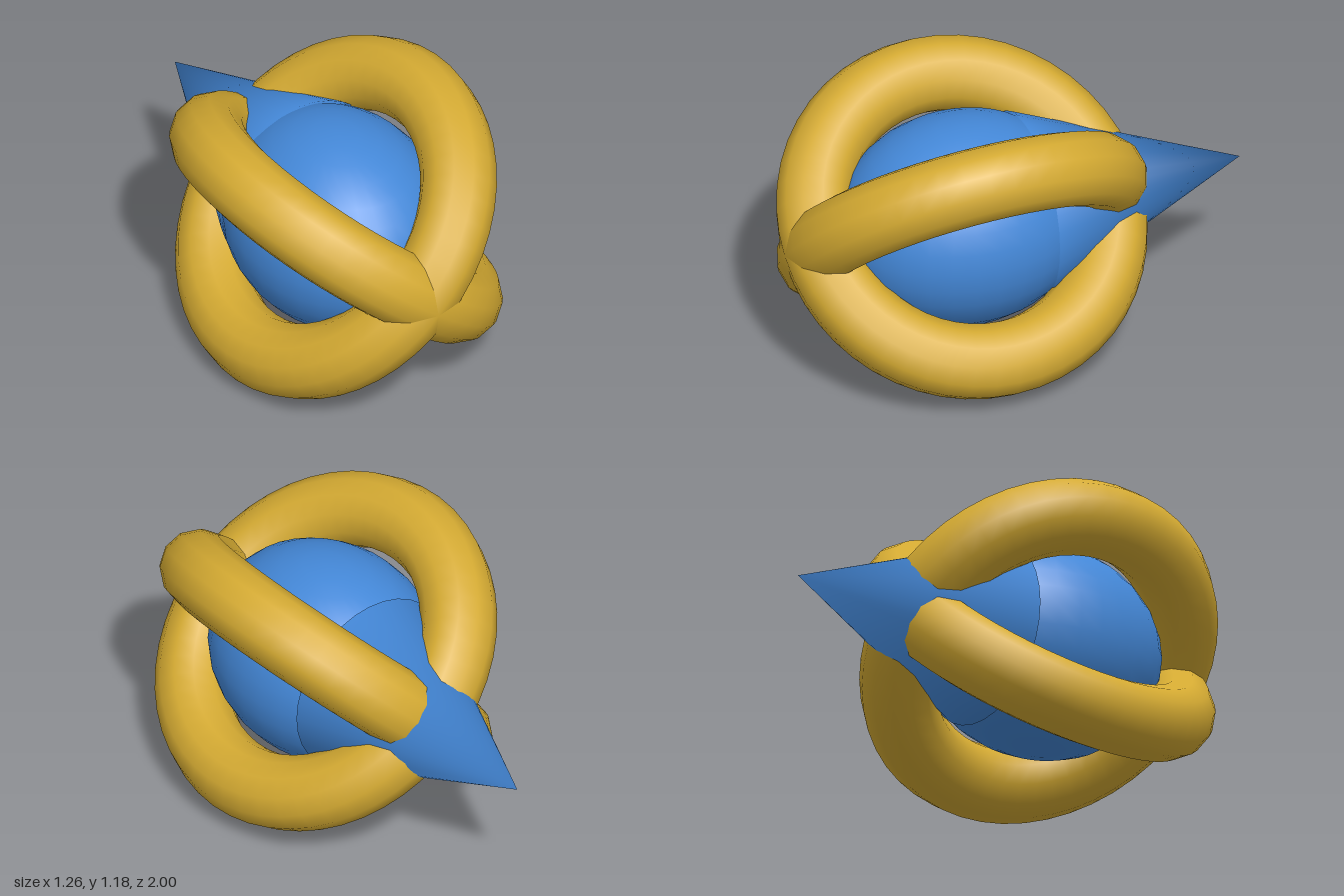
import * as THREE from 'three';
import { mergeVertices } from 'three/addons/utils/BufferGeometryUtils.js';

export function createModel() {
  const group = new THREE.Group();
  const blue = new THREE.MeshStandardMaterial({ color: 0x4488d8 });
  const gold = new THREE.MeshStandardMaterial({ color: 0xd4aa32 });
  const centreY = 0.593, centreZ = 0.221;

  function add(name, geometry, material, z) {
    const mesh = new THREE.Mesh(geometry, material);
    mesh.name = name;
    mesh.position.set(0, centreY, z);
    group.add(mesh);
  }

  // Egg-shaped body, longer from front to back
  add('body', new THREE.SphereGeometry(0.4425, 32, 16).scale(1, 1, 1.205), blue, centreZ);

  // Pointed tail: its base meets the body, its tip points backwards
  const tipZ = -1, baseZ = -0.057, length = baseZ - tipZ;
  const cone = new THREE.ConeGeometry(0.386, length, 32).rotateX(-Math.PI / 2);
  // Shade softly across the rim
  cone.deleteAttribute('normal');
  cone.deleteAttribute('uv');
  const tail = mergeVertices(cone);
  tail.computeVertexNormals();
  add('tailCone', tail, blue, (tipZ + baseZ) / 2);

  // Two rings crossing at the front and inside the tail
  const rings = { risingRing: 45, fallingRing: 140 };
  for (const [name, degrees] of Object.entries(rings)) {
    const ring = new THREE.TorusGeometry(0.622, 0.157, 12, 48)
      .rotateX(Math.PI / 2)
      .rotateZ(THREE.MathUtils.degToRad(degrees));
    add(name, ring, gold, centreZ);
  }

  return group;
}
